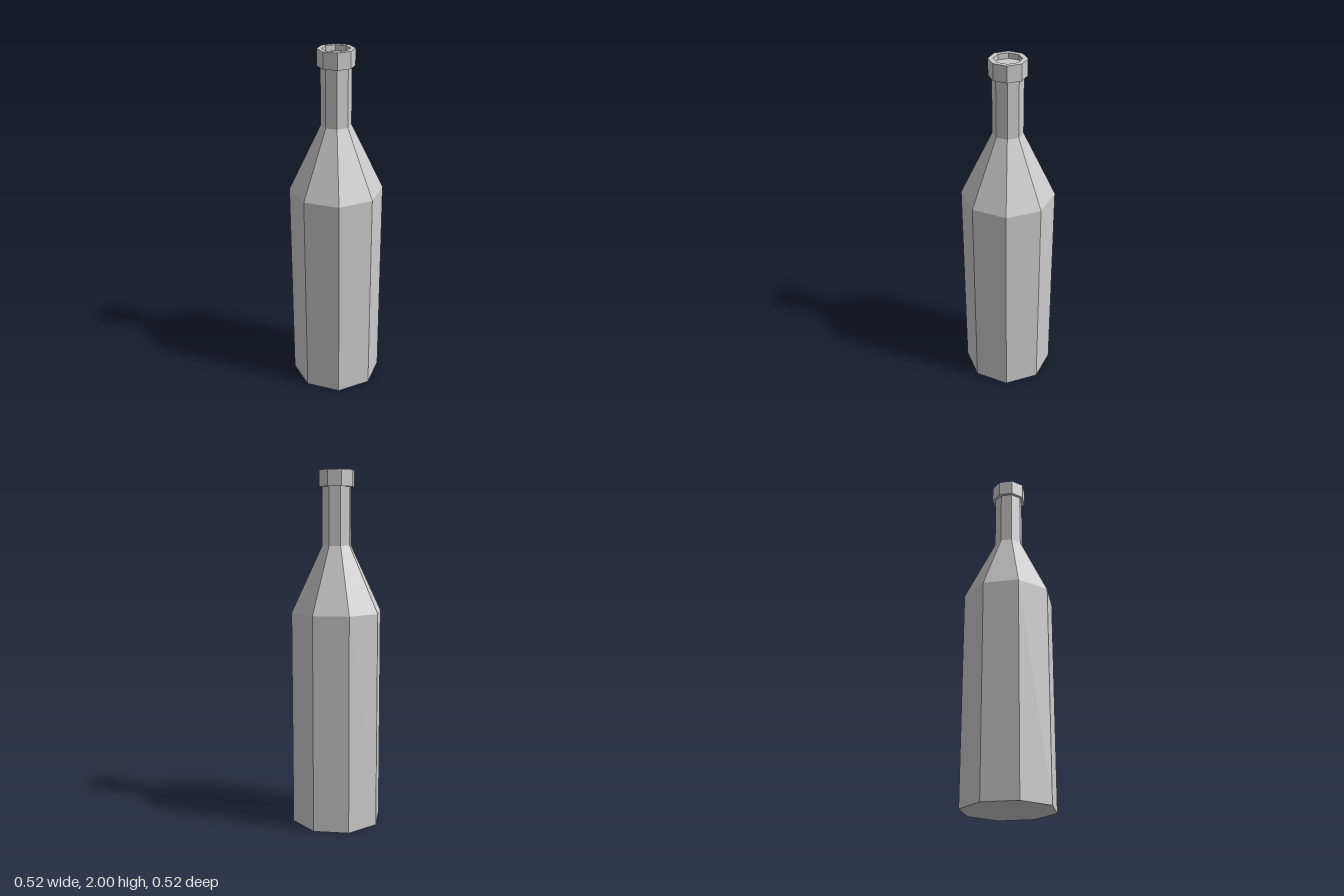
import * as THREE from 'three';

const SIDES = 8;

export function createModel() {
  const bottle = new THREE.Group();
  bottle.name = 'bottle';
  const glass = new THREE.MeshStandardMaterial({ color: 0xcccccc, flatShading: true });

  // Turns a [radius, height] profile, listed from the bottom up, into an octagonal part
  function addTurned(name, profile) {
    const points = profile.map(([r, y]) => new THREE.Vector2(r, y));
    const mesh = new THREE.Mesh(new THREE.LatheGeometry(points, SIDES), glass);
    mesh.name = name;
    bottle.add(mesh);
  }

  // Base and straight wall
  addTurned('body', [[0, 0], [0.26, 0], [0.26, 1.22]]);
  // Taper from the body to the neck
  addTurned('shoulder', [[0.26, 1.22], [0.083, 1.59]]);
  addTurned('neck', [[0.083, 1.59], [0.083, 1.91]]);
  // Wider lip with a shallow recessed mouth
  addTurned('lip', [[0.083, 1.91], [0.101, 1.91], [0.101, 2], [0.075, 2], [0.075, 1.97]]);
  addTurned('mouth', [[0.075, 1.97], [0, 1.97]]);

  return bottle;
}
